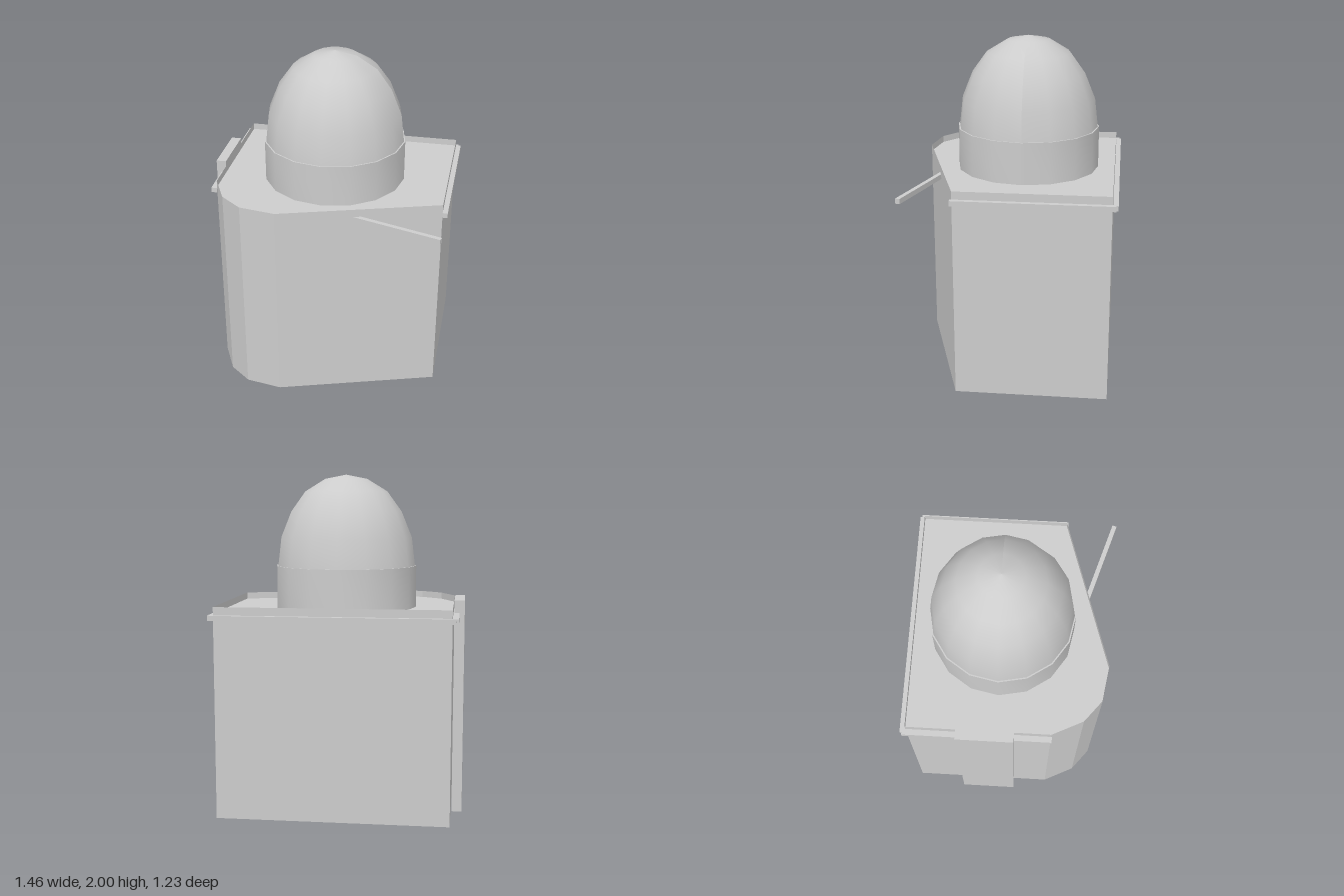
import * as THREE from 'three';

export function createModel() {
  const model = new THREE.Group();
  const grey = new THREE.MeshStandardMaterial({ color: 0xcccccc, side: THREE.DoubleSide });
  grey.name = 'grey';

  const add = (name, geometry, x = 0, y = 0, z = 0) => {
    const mesh = new THREE.Mesh(geometry, grey);
    mesh.name = name;
    mesh.position.set(x, y, z);
    model.add(mesh);
    return mesh;
  };

  // Floor plan as [x, z], walking left to right around the outside
  const plan = [
    [-0.665, 0.26], [-0.575, 0.445], [-0.445, 0.55], [-0.23, 0.585],
    [0.695, 0.3], [0.695, -0.59], [-0.665, -0.59],
  ];
  const wallTop = 1.245;
  const deckY = 1.205;

  // Thin walls, open below, rising past the deck as a parapet
  const corners = [];
  plan.forEach(([ax, az], i) => {
    const [bx, bz] = plan[(i + 1) % plan.length];
    corners.push(ax, 0, az, bx, 0, bz, bx, wallTop, bz);
    corners.push(ax, 0, az, bx, wallTop, bz, ax, wallTop, az);
  });
  const walls = new THREE.BufferGeometry();
  walls.setAttribute('position', new THREE.Float32BufferAttribute(corners, 3));
  walls.computeVertexNormals();
  add('walls', walls);

  // Flat roof deck
  const deck = new THREE.ShapeGeometry(
    new THREE.Shape(plan.map(([x, z]) => new THREE.Vector2(x, -z))));
  deck.rotateX(-Math.PI / 2);
  add('roofDeck', deck, 0, deckY, 0);

  // Sixteen-sided turned parts, with the seam on the +x side
  const turned = (name, profile) => {
    const points = profile.map(([r, y]) => new THREE.Vector2(r, y));
    const geometry = new THREE.LatheGeometry(points, 16, Math.PI / 2);
    geometry.computeVertexNormals();
    return add(name, geometry, -0.005, 0, -0.06);
  };
  turned('drum', [[0.428, deckY], [0.428, 1.455]]);
  turned('drumLedge', [[0.428, 1.455], [0.415, 1.455]]);
  turned('dome', [
    [0.42, 1.455], [0.4, 1.625], [0.337, 1.78], [0.25, 1.9], [0.128, 1.975], [0, 2],
  ]);

  // Cornice rails on three sides, and a fourth swung out from the front wall
  const rail = (name, w, d, x, z) => add(name, new THREE.BoxGeometry(w, 0.03, d), x, 1.183, z);
  rail('rightRail', 0.035, 0.875, -0.683, -0.173);
  rail('leftRail', 0.03, 0.92, 0.71, -0.15);
  rail('backRail', 1.395, 0.03, 0.0125, -0.607);
  rail('frontRail', 1.01, 0.027, 0.233, 0.45).rotation.y = -0.3;

  // Tall pilaster on the right wall
  add('pilaster', new THREE.BoxGeometry(0.06, 1.27, 0.34), -0.7, 0.635, -0.125);

  return model;
}
